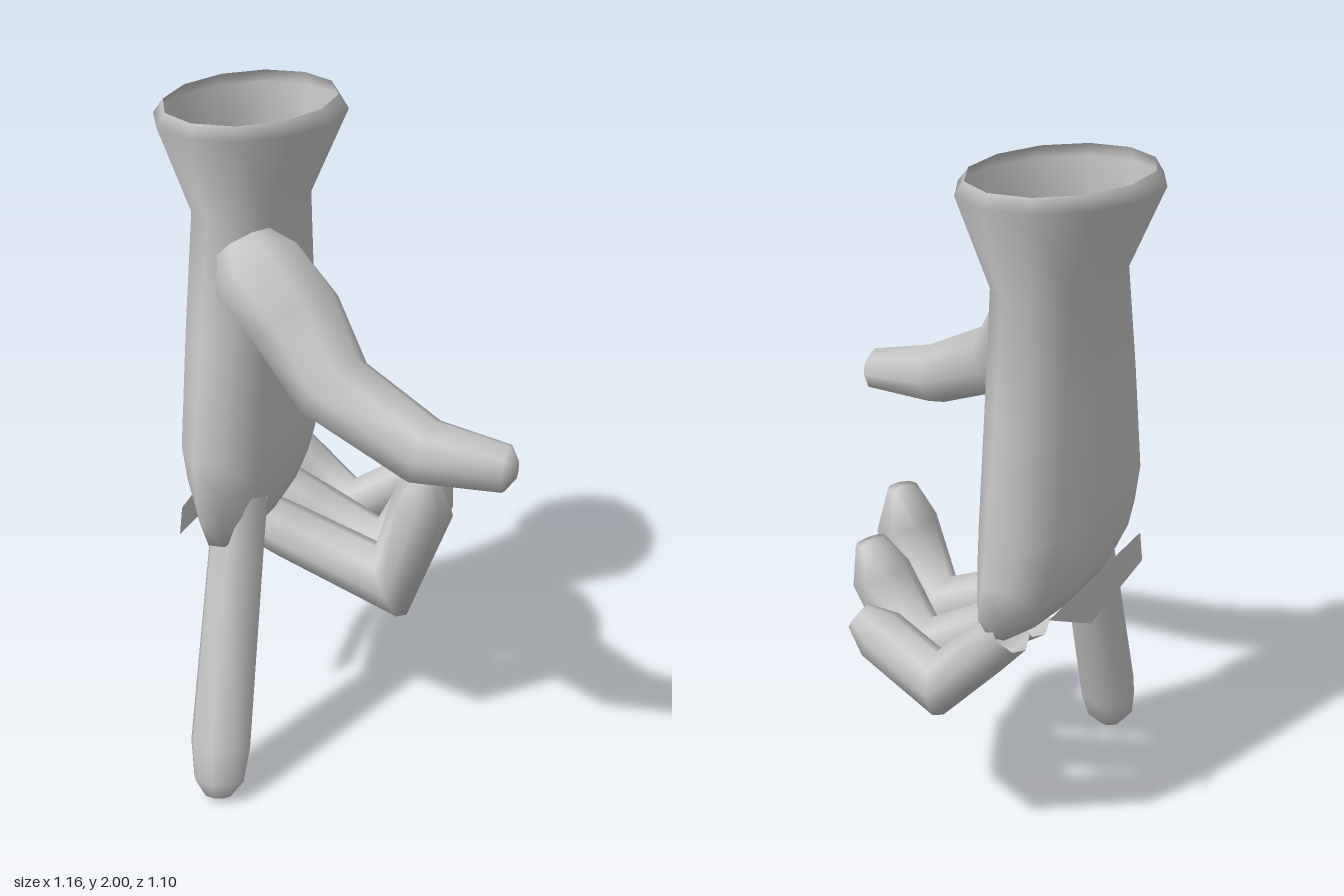
import * as THREE from 'three';

const grey = new THREE.MeshStandardMaterial({ color: 0xc4c4c4, side: THREE.DoubleSide });
grey.name = 'grey';
const V = (x, y, z) => new THREE.Vector3(x, y, z);

// Smooth skin over rings of points, with a closing point at the far end
function loft(name, rings, end) {
  const n = rings[0].length, index = [];
  const points = [...rings.flat(), end];
  const last = (rings.length - 1) * n;
  for (let i = 0; i < rings.length - 1; i++) {
    for (let j = 0; j < n; j++) {
      const a = i * n + j, b = i * n + (j + 1) % n;
      index.push(a, b, a + n, b, b + n, a + n);
    }
  }
  for (let j = 0; j < n; j++) index.push(last + j, last + (j + 1) % n, points.length - 1);
  const geo = new THREE.BufferGeometry().setFromPoints(points);
  geo.setIndex(index);
  geo.computeVertexNormals();
  const mesh = new THREE.Mesh(geo, grey);
  mesh.name = name;
  return mesh;
}

// Finger: stations [x, y, z, radius across, radius in the bending plane], mitred at bends
function finger(name, stations, across, sides = 8) {
  const p = stations.map(s => V(s[0], s[1], s[2]));
  const rings = p.map((c, i) => {
    const d1 = (i ? c.clone().sub(p[i - 1]) : p[1].clone().sub(c)).normalize();
    const d2 = (i < p.length - 1 ? p[i + 1].clone().sub(c) : d1.clone()).normalize();
    const t = d1.clone().add(d2).normalize();
    const miter = 1 / Math.max(0.6, t.dot(d1));
    const b = across.clone().addScaledVector(t, -across.dot(t)).normalize();
    const n = b.clone().cross(t);
    const [rb, rn] = [stations[i][3], (stations[i][4] ?? stations[i][3]) * miter];
    return Array.from({ length: sides }, (_, j) => {
      const a = j / sides * Math.PI * 2;
      return c.clone().addScaledVector(n, Math.cos(a) * rn).addScaledVector(b, Math.sin(a) * rb);
    });
  });
  return loft(name, rings, p[p.length - 1].clone());
}

export function createModel() {
  const hand = new THREE.Group();
  hand.name = 'hand';

  // Cuff and palm: [y, x min, x max, z min, z max], top to bottom
  const sections = [
    [2.00, -0.55, -0.08, -0.44, 0.23],
    [1.96, -0.58, -0.05, -0.455, 0.245],
    [1.71, -0.475, -0.16, -0.39, 0.18],
    [1.38, -0.48, -0.155, -0.43, 0.27],
    [1.04, -0.48, -0.155, -0.485, 0.36],
    [0.93, -0.465, -0.17, -0.52, 0.355],
    [0.85, -0.445, -0.19, -0.55, 0.35],
    [0.77, -0.40, -0.22, -0.49, 0.33],
  ];
  const sides = 12, grow = 1 / Math.cos(Math.PI / sides);
  const palmRings = sections.map(([y, x0, x1, z0, z1]) => Array.from({ length: sides }, (_, j) => {
    const a = (j + 0.5) / sides * Math.PI * 2;
    return V((x0 + x1) / 2 + Math.cos(a) * grow * (x1 - x0) / 2, y,
      (z0 + z1) / 2 + Math.sin(a) * grow * (z1 - z0) / 2);
  }));
  hand.add(loft('palmAndCuff', palmRings, V(-0.31, 0.73, -0.08)));

  // Thin flap along the knuckles on the back of the hand
  const flap = new THREE.BufferGeometry().setFromPoints([
    V(-0.45, 0.83, 0.23), V(-0.45, 0.84, -0.45), V(-0.455, 0.70, -0.16), V(-0.46, 0.74, 0.23),
  ]);
  flap.setIndex([0, 1, 2, 0, 2, 3]);
  flap.computeVertexNormals();
  const flapMesh = new THREE.Mesh(flap, grey);
  flapMesh.name = 'knuckleFlap';
  hand.add(flapMesh);

  // Outstretched index finger
  hand.add(finger('indexFinger', [
    [-0.28, 0.88, 0.19, 0.085],
    [-0.28, 0.72, 0.24, 0.085],
    [-0.28, 0.16, 0.435, 0.093],
    [-0.275, 0.06, 0.475, 0.078],
    [-0.275, 0.012, 0.49, 0.04],
  ], V(1, 0, 0)));

  // Curled fingers
  hand.add(finger('middleFinger', [
    [-0.30, 0.73, 0.01, 0.09, 0.075],
    [-0.18, 0.68, 0.01, 0.10, 0.08],
    [0.14, 0.55, 0.01, 0.107, 0.085],
    [0.235, 0.82, 0.01, 0.098, 0.096],
    [0.25, 0.935, 0.01, 0.05, 0.045],
  ], V(0, 0, 1)));
  hand.add(finger('ringFinger', [
    [-0.30, 0.73, -0.22, 0.09, 0.075],
    [-0.18, 0.66, -0.22, 0.10, 0.08],
    [0.07, 0.52, -0.22, 0.102, 0.085],
    [0.20, 0.75, -0.22, 0.095, 0.09],
    [0.235, 0.85, -0.22, 0.05, 0.045],
  ], V(0, 0, 1)));
  hand.add(finger('littleFinger', [
    [-0.33, 0.78, -0.445, 0.08, 0.07],
    [-0.25, 0.70, -0.445, 0.085, 0.075],
    [-0.11, 0.56, -0.445, 0.087, 0.078],
    [0.08, 0.675, -0.445, 0.082, 0.08],
    [0.15, 0.72, -0.445, 0.045, 0.045],
  ], V(0, 0, 1)));

  // Thumb
  hand.add(finger('thumb', [
    [-0.26, 1.645, 0.15, 0.085, 0.09],
    [-0.21, 1.575, 0.18, 0.14, 0.145],
    [-0.09, 1.46, 0.22, 0.15, 0.138],
    [0.04, 1.30, 0.30, 0.13, 0.11],
    [0.32, 1.175, 0.385, 0.105, 0.095],
    [0.55, 1.155, 0.395, 0.077, 0.067],
    [0.578, 1.155, 0.395, 0.03, 0.025],
  ], V(0, 0, 1)));

  return hand;
}
